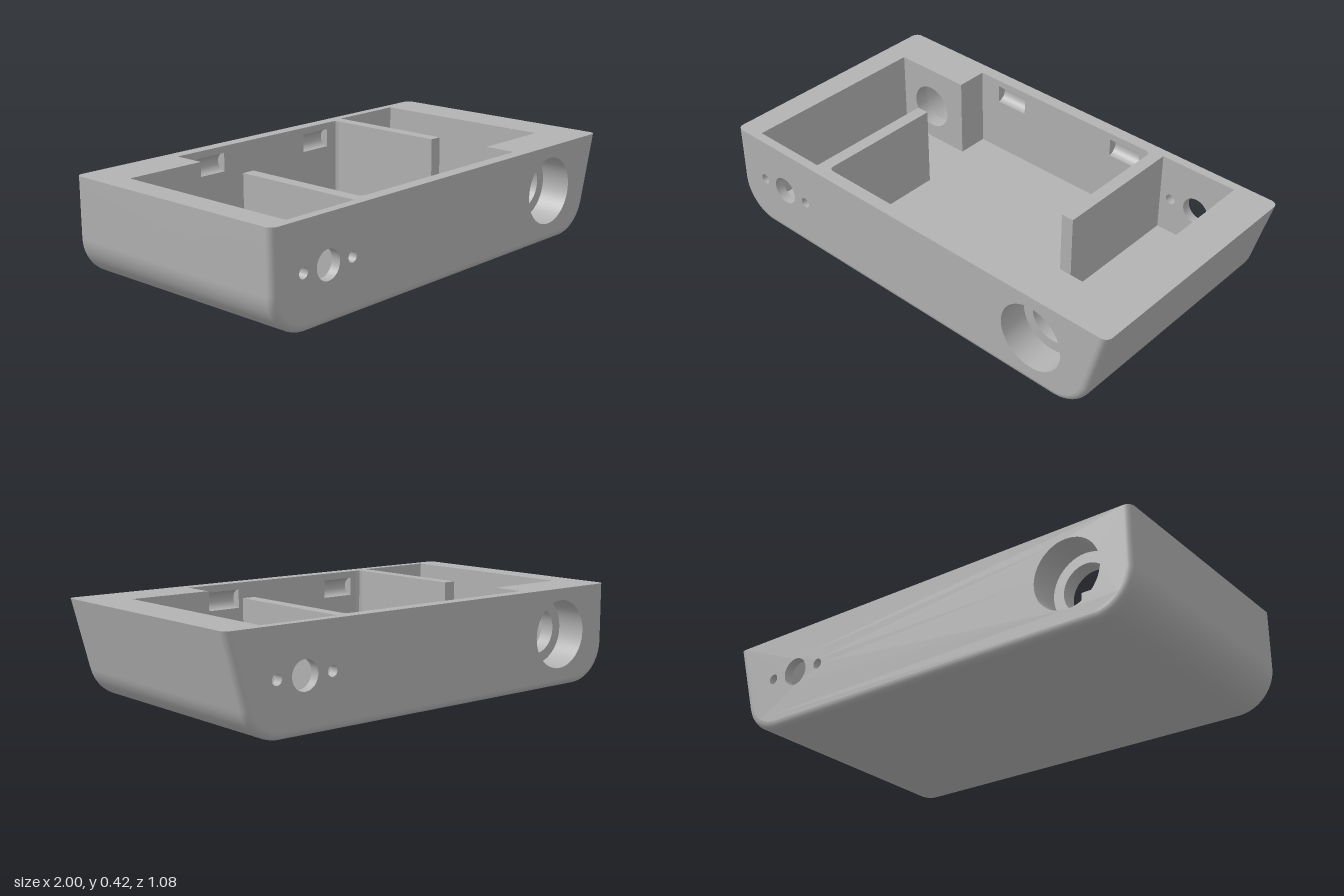
import * as THREE from 'three';

const TOP = 0.42, FLOOR = 0.06, HALF_Z = 0.54, EDGE = 0.03, FILLET = 0.17;
const SLANT = THREE.MathUtils.degToRad(15);
const CX = -0.035;                     // x of the cavity's point of symmetry
const PORT_X = 0.685, PORT_Y = 0.225;  // port position, measured from CX
const SCREW = 0.127;                   // screw hole distance from the cable hole
const BORE_DEPTH = 0.13;
const WALL = { boss: -0.345, main: -0.485, end: -0.5 };

// Half of the cavity outline as [x, z] from CX; the rest is this turned by 180 degrees
const HALF = [
  [-0.855, WALL.boss], [-0.495, WALL.boss], [-0.495, WALL.main],
  [0.43, WALL.main], [0.444, -0.479], [0.45, -0.465],
  [0.45, 0.085], [0.505, 0.085], [0.505, WALL.end], [0.855, WALL.end],
];
const OUTLINE = [...HALF, ...HALF.map(([x, z]) => [-x, -z])];

// Hull profile seen from the front, moved inwards by d, open at the top
function profile(d) {
  const pts = [new THREE.Vector2(-1 + d, TOP)];
  const arc = (cx, from, to) => {
    for (let i = 0; i <= 14; i++) {
      const a = from + (to - from) * i / 14;
      pts.push(new THREE.Vector2(cx + (FILLET - d) * Math.cos(a), FILLET + (FILLET - d) * Math.sin(a)));
    }
  };
  arc(-1 + FILLET, -Math.PI, -Math.PI / 2);
  const cx = 1 - (FILLET + (TOP - FILLET) * Math.sin(SLANT)) / Math.cos(SLANT);
  arc(cx, -Math.PI / 2, -SLANT);
  pts.push(new THREE.Vector2(1 - d / Math.cos(SLANT), TOP));
  return pts;
}

// Hull sections from front to back, with rounded front and back edges
function hullSections() {
  const front = [];
  for (let i = 0; i <= 6; i++) {
    const a = Math.PI / 2 * (1 - i / 6);
    front.push({ z: HALF_Z - EDGE + EDGE * Math.sin(a), pts: profile(EDGE * (1 - Math.cos(a))) });
  }
  return [...front, ...front.slice().reverse().map(s => ({ z: -s.z, pts: s.pts }))];
}

function loft(sections) {
  const pos = [], index = [], n = sections[0].pts.length;
  for (const s of sections) for (const p of s.pts) pos.push(p.x, p.y, s.z);
  for (let s = 0; s < sections.length - 1; s++) {
    for (let i = 0; i < n - 1; i++) {
      const a = s * n + i, c = a + n;
      index.push(a, c, a + 1, a + 1, c, c + 1);
    }
  }
  const g = new THREE.BufferGeometry();
  g.setAttribute('position', new THREE.Float32BufferAttribute(pos, 3));
  g.setIndex(index);
  g.computeVertexNormals();
  return g;
}

const circle = (x, y, r) => new THREE.Path().absarc(x, y, r, 0, Math.PI * 2, true);
const rect = (x0, y0, x1, y1) => [[x0, y0], [x1, y0], [x1, y1], [x0, y1]].map(p => new THREE.Vector2(...p));
const portHoles = x => [
  circle(x, PORT_Y, 0.06), circle(x - SCREW, PORT_Y, 0.022), circle(x + SCREW, PORT_Y, 0.022),
];

function panel(points, holes = []) {
  const shape = new THREE.Shape(points);
  shape.holes.push(...holes);
  return new THREE.ShapeGeometry(shape, 24);
}

export function createModel() {
  const model = new THREE.Group();
  model.name = 'enclosure';
  const grey = new THREE.MeshStandardMaterial({ color: 0xb2b2b2, side: THREE.DoubleSide });
  grey.name = 'grey plastic';
  const add = (parent, name, geometry) => {
    const mesh = new THREE.Mesh(geometry, grey);
    mesh.name = name;
    parent.add(mesh);
    return mesh;
  };

  // Hull sides and bottom
  const sections = hullSections();
  add(model, 'hull', loft(sections));

  // Front and back faces with their openings
  for (const s of [1, -1]) {
    const pts = profile(EDGE).map(p => new THREE.Vector2(p.x * s, p.y));
    const holes = [circle(s * CX + PORT_X, PORT_Y, 0.145), ...portHoles(s * CX - PORT_X)];
    const g = panel(pts, holes).translate(0, 0, HALF_Z);
    if (s < 0) g.rotateY(Math.PI);
    add(model, s > 0 ? 'frontFace' : 'backFace', g);
  }

  // Rim around the cavity, including the tops of the dividers, and the cavity floor
  const cavity = OUTLINE.map(([x, z]) => new THREE.Vector2(x + CX, -z));
  const rim = [
    ...sections.map(s => new THREE.Vector2(s.pts[0].x, -s.z)),
    ...sections.slice().reverse().map(s => new THREE.Vector2(s.pts.at(-1).x, -s.z)),
  ];
  add(model, 'rim', panel(rim, [new THREE.Path(cavity)]).rotateX(-Math.PI / 2).translate(0, TOP, 0));
  add(model, 'cavityFloor', panel(cavity).rotateX(-Math.PI / 2).translate(0, FLOOR, 0));

  // Everything inside repeats with a half turn about the cavity centre
  for (const turn of [0, Math.PI]) {
    const half = new THREE.Group();
    half.name = turn ? 'frontInterior' : 'backInterior';
    half.position.x = CX;
    half.rotation.y = turn;
    model.add(half);

    // Cavity walls, cut where bores and latch recesses open into them
    HALF.forEach(([ax, az], i) => {
      const [bx, bz] = OUTLINE[i + 1];
      const length = Math.hypot(bx - ax, bz - az);
      let holes = [];
      if (i === 0) holes = [circle(-PORT_X - ax, PORT_Y, 0.1)];
      if (i === 2) holes = [-0.3175, 0.3175].map(x =>
        new THREE.Path(rect(x - ax - 0.0775, 0.31, x - ax + 0.0775, 0.39)));
      if (i === 8) holes = portHoles(PORT_X - ax);
      const wall = add(half, 'cavityWall', panel(rect(0, FLOOR, length, TOP), holes));
      wall.position.set(ax, 0, az);
      wall.rotation.y = Math.atan2(az - bz, bx - ax);
    });

    // Bore linings
    const bore = (name, x, r, z0, z1) => add(half, name,
      new THREE.CylinderGeometry(r, r, z1 - z0, 48, 1, true).rotateX(Math.PI / 2)
        .translate(x, PORT_Y, (z0 + z1) / 2));
    const step = -HALF_Z + BORE_DEPTH;
    bore('counterbore', -PORT_X, 0.145, -HALF_Z, step);
    bore('innerBore', -PORT_X, 0.1, step, WALL.boss);
    add(half, 'counterboreStep',
      new THREE.RingGeometry(0.1, 0.145, 48).rotateY(Math.PI).translate(-PORT_X, PORT_Y, step));
    bore('cableHole', PORT_X, 0.06, -HALF_Z, WALL.end);
    for (const s of [-1, 1]) bore('screwHole', PORT_X + s * SCREW, 0.022, -HALF_Z, WALL.end);

    // Rounded latch recesses
    for (const s of [-1, 1]) {
      add(half, 'latchRecess',
        new THREE.CylinderGeometry(0.04, 0.04, 0.155, 16, 1, false, Math.PI / 2, Math.PI)
          .rotateZ(Math.PI / 2).translate(s * 0.3175, 0.35, WALL.main));
    }
  }
  return model;
}
